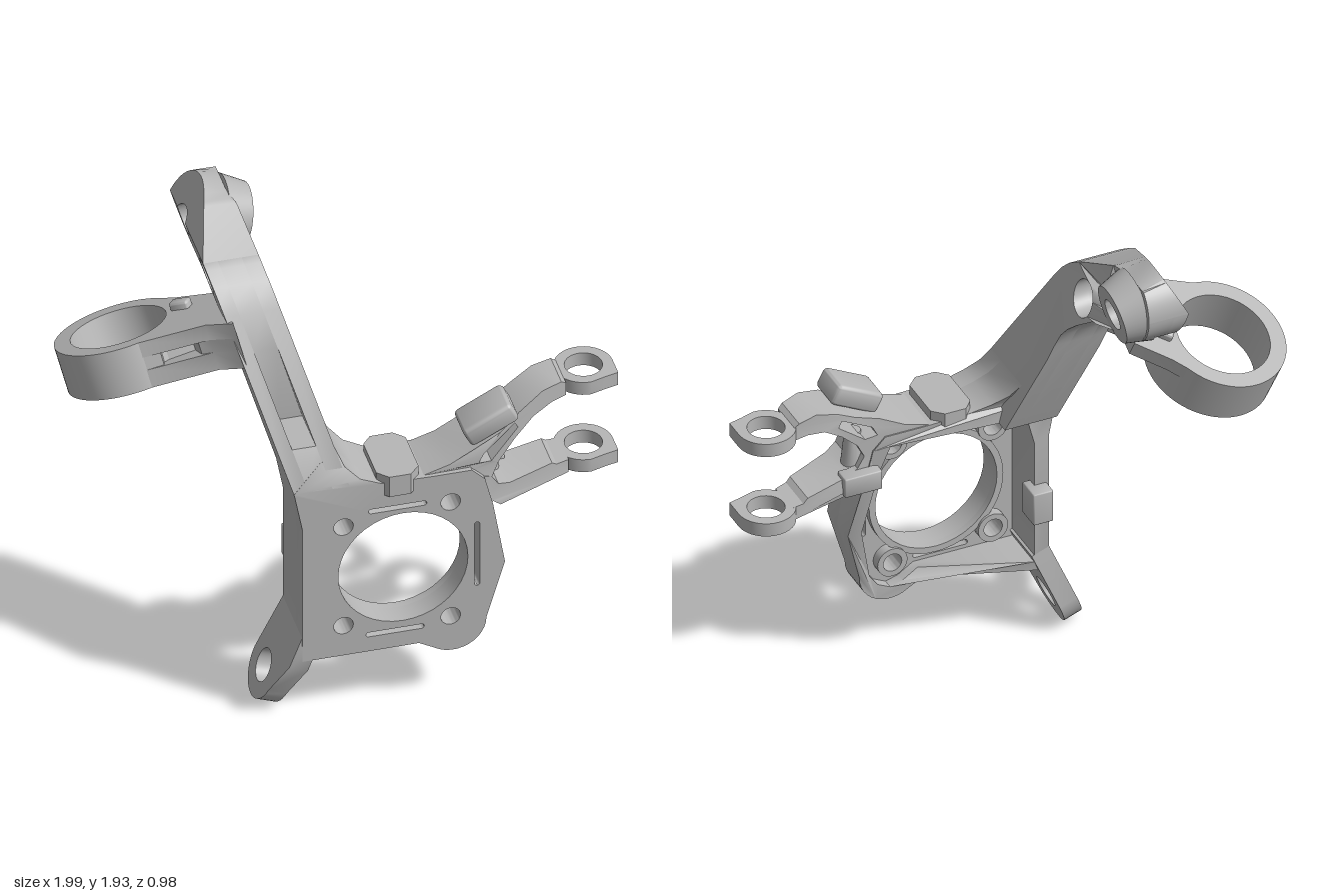
import * as THREE from 'three';
import { toCreasedNormals } from 'three/addons/utils/BufferGeometryUtils.js';
import { RoundedBoxGeometry } from 'three/addons/geometries/RoundedBoxGeometry.js';

const metal = new THREE.MeshStandardMaterial({ color: 0xb6b6b6 });
metal.name = 'cast grey metal';

const lerp = THREE.MathUtils.lerp;
const ramp = (v, a, b) => THREE.MathUtils.clamp((v - a) / (b - a), 0, 1);

function circle(x, y, r) {
  return new THREE.Path().absarc(x, y, r, 0, Math.PI * 2, true);
}
const vectors = points => points.map(([x, y]) => new THREE.Vector2(x, y));
// rounded slot between two points
function slot(x1, y1, x2, y2, r) {
  const a = Math.atan2(y2 - y1, x2 - x1);
  return new THREE.Path()
    .absarc(x2, y2, r, a - Math.PI / 2, a + Math.PI / 2, false)
    .absarc(x1, y1, r, a + Math.PI / 2, a + Math.PI * 1.5, false);
}
function arc(cx, cy, r, from, to, n = 20) {
  return Array.from({ length: n + 1 }, (_, i) => {
    const a = THREE.MathUtils.degToRad(lerp(from, to, i / n));
    return [cx + r * Math.cos(a), cy + r * Math.sin(a)];
  });
}
// outlines are turned counter-clockwise so that hole walls face the right way
function extrude(points, holes, depth) {
  const outline = vectors(points);
  if (THREE.ShapeUtils.isClockWise(outline)) outline.reverse();
  const shape = new THREE.Shape(outline);
  shape.holes = holes;
  return new THREE.ExtrudeGeometry(shape, { depth, bevelEnabled: false, curveSegments: 20 });
}
// profile in (z, y), thickened along x up to xRight
function sideExtrude(points, holes, depth, xRight) {
  return extrude(points, holes, depth).rotateY(-Math.PI / 2).translate(xRight, 0, 0);
}
// profile in (x, z), thickened along y from y0
function planExtrude(points, holes, depth, y0) {
  return extrude(points, holes, depth).rotateX(Math.PI / 2).translate(0, y0 + depth, 0);
}
function warp(geo, rule) {
  const p = geo.attributes.position, v = new THREE.Vector3();
  for (let i = 0; i < p.count; i++) {
    rule(v.fromBufferAttribute(p, i));
    p.setXYZ(i, v.x, v.y, v.z);
  }
  return geo;
}
function add(parent, name, geo) {
  const mesh = new THREE.Mesh(toCreasedNormals(geo, 0.6), metal);
  mesh.name = name;
  parent.add(mesh);
  return mesh;
}
function box(parent, name, w, h, d, x, y, z, radius) {
  const mesh = add(parent, name, new RoundedBoxGeometry(w, h, d, 3, radius));
  mesh.position.set(x, y, z);
  return mesh;
}

function buildHub(g) {
  const outline = [[-0.24, 0.27], [-0.24, 0.87], [-0.27, 1.03], [-0.27, 1.04], [-0.1, 1.17],
    [-0.07, 1.1], [-0.02, 1.055], [0.06, 1.025], [0.25, 1.02], [0.4, 1.02], [0.45, 0.97],
    [0.48, 0.85], [0.525, 0.58], ...arc(0.33, 0.34, 0.125, 0, -125, 12), [0.2, 0.27]];
  const inner = [[-0.18, 0.32], [-0.18, 0.85], [-0.15, 0.97], [0.38, 0.97], [0.425, 0.87],
    [0.47, 0.58], [0.415, 0.34], [0.38, 0.29], [0.33, 0.265], [0.28, 0.28], [0.22, 0.32]];
  const bolts = [[-0.085, 0.855], [0.32, 0.89], [-0.085, 0.405], [0.32, 0.37]];
  // top of the casting leans back with the strut arm
  const lean = v => { if (v.y > 1.04) v.z -= 0.6 * (v.y - 1.04); };

  const holes = [circle(0.14, 0.63, 0.245), ...bolts.map(([x, y]) => circle(x, y, 0.037)),
    slot(0.02, 0.905, 0.22, 0.905, 0.01), slot(0.01, 0.345, 0.21, 0.345, 0.01),
    slot(0.42, 0.5, 0.42, 0.77, 0.01)];
  add(g, 'hubPlate', warp(extrude(outline, holes, 0.085).translate(0, 0, 0.39), lean));

  // rim wall, deepest along the left side and the top
  add(g, 'hubRim', warp(extrude(outline, [new THREE.Path(vectors(inner))], 1), v => {
    const right = lerp(0.35, 0.24, ramp(v.y, 0.32, 0.85));
    const back = lerp(0.2, right, ramp(v.x, -0.16, 0.05));
    v.z = lerp(back, 0.39, v.z);
    lean(v);
  }));
  add(g, 'hubLip', extrude(arc(0.14, 0.63, 0.27, 0, 360, 48), [circle(0.14, 0.63, 0.245)], 0.03)
    .translate(0, 0, 0.36));
  for (const [x, y] of bolts)
    add(g, 'boltBoss', extrude(arc(x, y, 0.06, 0, 360, 24), [circle(x, y, 0.037)], 0.04).translate(0, 0, 0.35));

  box(g, 'rearLug', 0.08, 0.135, 0.1, -0.19, 0.593, 0.19, 0.005);
  const pad = [[0.08, 0.23], [0.165, 0.23], [0.205, 0.27], [0.205, 0.45], [0.165, 0.49],
    [0.085, 0.49], [0.045, 0.45], [0.045, 0.27]];
  add(g, 'sensorPad', planExtrude(pad, [], 0.09, 0.97));
}

function buildStrutArm(g) {
  const shear = v => { v.x -= 0.284 * (v.y - 1.03); };
  const trimForBoss = v => { if (v.z < -0.235) v.x = Math.min(v.x, -0.32); };

  // lower length, in three layers across; the middle one carries the front pocket
  const front = [0.474, 1.04];
  const rest = [[0.13, 1.63], [0.1, 1.675], [0.06, 1.715], [0, 1.755], [-0.028, 1.77],
    [-0.225, 1.77], [-0.24, 1.77], ...arc(-0.335, 1.745, 0.06, 24.6, -204.6),
    ...arc(-0.345, 1.775, 0.145, 182, 270), [-0.24, 1.63], [-0.225, 1.63], [-0.2, 1.625], [-0.1, 1.55],
    [-0.05, 1.505], [-0.02, 1.465], [0, 1.41], [0.02, 1.34], [0.16, 0.97], [0.472, 0.97]];
  const notch = [[0.391, 1.18], [0.2, 1.18], [0.2, 1.51]];
  const layers = [[-0.27, -0.214, []], [-0.214, -0.124, notch], [-0.124, -0.06, []]];
  for (const [left, right, cut] of layers) {
    const profile = [front, ...cut, ...rest];
    add(g, 'strutArm', warp(sideExtrude(profile, [circle(-0.095, 1.66, 0.07)], right - left, right), v => {
      shear(v);
      trimForBoss(v);
    }));
  }

  // head, cut back by a sloping plane on the outer side
  const head = [[-0.028, 1.77], [-0.225, 1.876], [-0.24, 1.884], ...arc(-0.345, 1.775, 0.145, 60, 182),
    ...arc(-0.335, 1.745, 0.06, 155.4, 24.6), [-0.24, 1.77], [-0.225, 1.77]];
  add(g, 'strutHead', warp(sideExtrude(head, [], 0.21, -0.06), v => {
    shear(v);
    trimForBoss(v);
    v.x = Math.max(v.x, -0.48 + 0.53 * (v.y - 1.77));
    v.y = Math.min(v.y, 1.92 - 0.5 * (v.x + 0.4));
  }));

  // tapered boss around the bolt hole
  const section = [[0.06, 0], [0.06, -0.1], [0.145, -0.1], [0.115, 0], [0.06, 0]];
  const boss = add(g, 'strutBoss', new THREE.LatheGeometry(vectors(section), 40));
  boss.position.set(-0.245, 1.737, -0.335);
  boss.rotation.z = -Math.PI / 2 - 0.2;
}

function buildLowerEar(g) {
  const profile = [[0.47, 0.36], [0.475, 0.24], ...arc(0.285, 0.125, 0.12, -15, -180), [0.2, 0.36]];
  add(g, 'lowerEar', warp(sideExtrude(profile, [circle(0.285, 0.125, 0.06)], 0.07, -0.17), v => {
    const across = v.x + 0.205;
    v.x += 0.41 * (v.y - 0.36);
    v.y -= 0.38 * across;
  }));
}

function buildClampRing(g) {
  const ring = new THREE.Group();
  ring.name = 'clampRing';
  ring.position.set(-0.737, 1.33, -0.165);
  ring.quaternion.setFromUnitVectors(new THREE.Vector3(0, 1, 0), new THREE.Vector3(-0.22, 1, -0.38).normalize());
  g.add(ring);
  add(ring, 'ringBand', planExtrude(arc(0, 0, 0.245, 0, 360, 64), [circle(0, 0, 0.183)], 0.18, -0.09));

  // neck in three layers: notched in the middle, hollowed out below at the back
  const start = [[0.02, 0.243]], notch = [[0.09, 0.252], [0.1, 0.215], [0.22, 0.215], [0.23, 0.285]];
  const end = [[0.27, 0.31], [0.36, 0.4]];
  const wide = [...end, [0.37, 0], [0.25, -0.09], [0.2, -0.14], ...arc(0, 0, 0.215, -35, 85, 16)];
  const narrow = [...end, [0.37, 0.22], [0.2, 0.1], ...arc(0, 0, 0.215, 28, 85, 10)];
  add(ring, 'neckBottom', planExtrude([...start, ...narrow], [], 0.07, -0.09));
  add(ring, 'neckMiddle', planExtrude([...start, ...notch, ...narrow], [], 0.05, -0.02));
  add(ring, 'neckTop', planExtrude([...start, ...wide], [], 0.06, 0.03));
  box(ring, 'neckLug', 0.075, 0.04, 0.05, 0.24, 0.1, 0.03, 0.012).rotation.y = -0.6;
}

function buildSteeringArms(g) {
  const taper = v => {
    const back = lerp(0.245, 0.17, ramp(v.x, 0.53, 0.78));
    const front = lerp(0.46, 0.31, ramp(v.x, 0.46, 0.8));
    v.z = lerp(back, front, v.z);
  };
  const top = [[0.22, 1.02], [0.32, 1.05], [0.42, 1.105], [0.52, 1.14], [0.6, 1.19], [0.7, 1.235],
    [0.78, 1.235], [0.8, 1.22], [0.8, 1.165], [0.74, 1.165], [0.66, 1.14], [0.58, 1.08],
    [0.51, 1.01], [0.48, 0.95], [0.43, 0.95], [0.38, 1.0]];
  const window = [[0.43, 1.035], [0.48, 1.03], [0.54, 1.08], [0.595, 1.125], [0.58, 1.15], [0.52, 1.115], [0.45, 1.075]];
  const low = [[0.44, 0.97], [0.48, 0.96], [0.51, 0.91], [0.56, 0.89], [0.74, 0.885], [0.76, 0.87],
    [0.81, 0.868], [0.81, 0.812], [0.52, 0.81], [0.49, 0.84], [0.45, 0.85]];
  add(g, 'upperSteeringArm', warp(extrude(top, [new THREE.Path(vectors(window))], 1), taper));
  add(g, 'lowerSteeringArm', warp(extrude(low, [], 1), taper));

  // eyes with one squared outer corner
  const eye = [...arc(0.89, 0.22, 0.11, 90, 360, 30), [1, 0.3], [0.95, 0.312]];
  for (const y of [1.165, 0.812])
    add(g, 'steeringEye', planExtrude(eye, [circle(0.89, 0.22, 0.07)], 0.056, y));

  box(g, 'upperPad', 0.205, 0.085, 0.15, 0.485, 1.175, 0.365, 0.02).rotation.z = 0.48;
  box(g, 'rearPad', 0.15, 0.08, 0.07, 0.505, 0.865, 0.235, 0.005);
  const post = add(g, 'webPost', new THREE.CylinderGeometry(0.03, 0.045, 0.14, 20));
  post.position.set(0.5, 0.97, 0.31);
}

export function createModel() {
  const model = new THREE.Group();
  model.name = 'steeringKnuckle';
  buildHub(model);
  buildStrutArm(model);
  buildLowerEar(model);
  buildClampRing(model);
  buildSteeringArms(model);
  return model;
}
